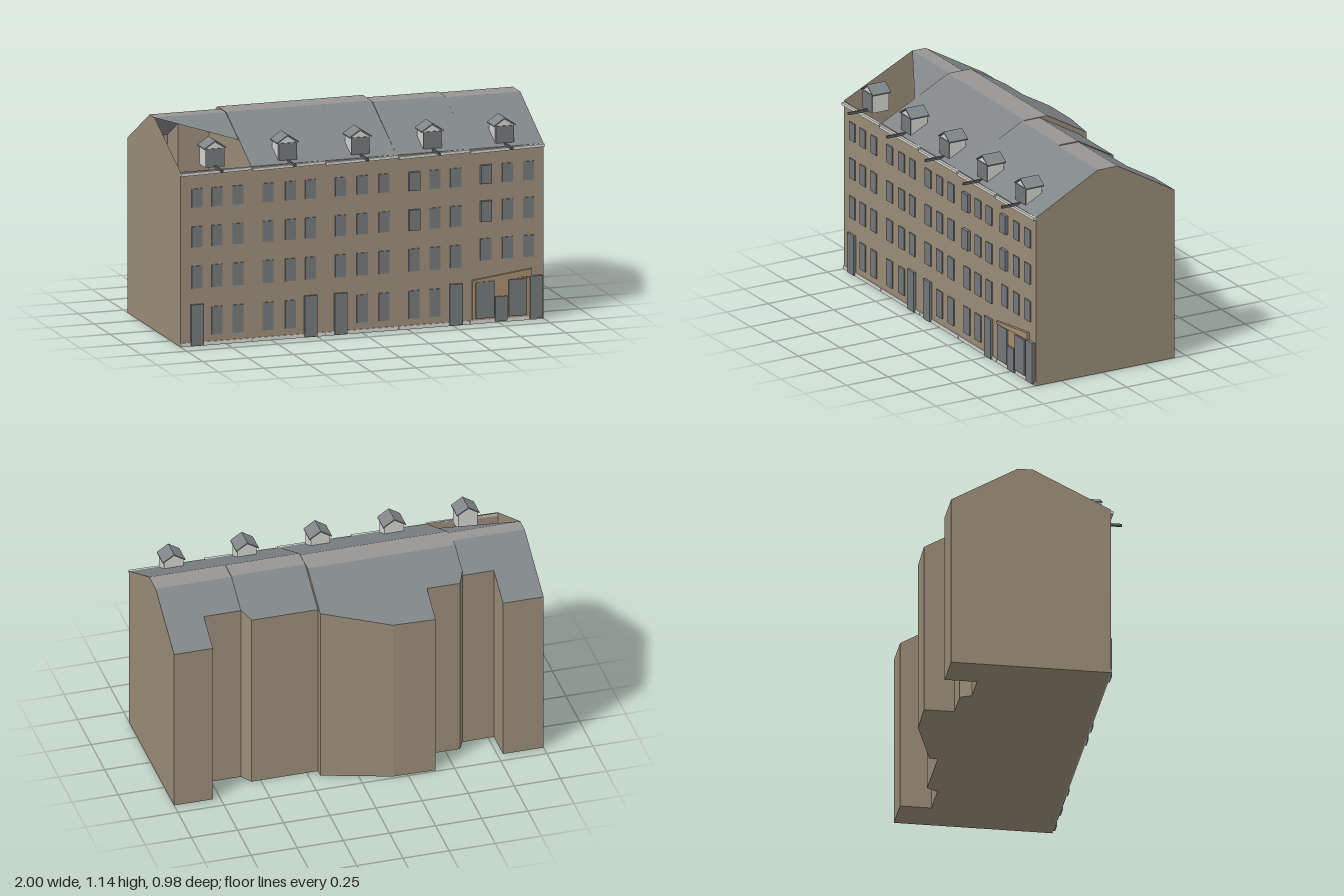
import * as THREE from 'three';
import { mergeGeometries } from 'three/addons/utils/BufferGeometryUtils.js';

const mat = (name, color, side = THREE.FrontSide) => {
  const m = new THREE.MeshStandardMaterial({ color, side });
  m.name = name;
  return m;
};

const FRONT = 0.4;   // z of the street wall
const EAVE = 0.935;  // height of the front eave
const BACK_PITCH = 0.575;

export function createModel() {
  const model = new THREE.Group();
  model.name = 'terraceOfHouses';
  const wall = mat('brick', 0x9a8c78, THREE.DoubleSide);
  const roof = mat('slate', 0x808588, THREE.DoubleSide);
  const ridge = mat('ridgeGrey', 0x979593, THREE.DoubleSide);
  const glass = mat('glassGrey', 0x74787a);
  const trim = mat('lightTrim', 0xd3d3cf, THREE.DoubleSide);
  const beamGrey = mat('beamGrey', 0x606466);
  const shopTan = mat('shopTan', 0xa58c6f);

  const add = (parent, name, geometry, material) => {
    const mesh = new THREE.Mesh(geometry, material);
    mesh.name = name;
    parent.add(mesh);
    return mesh;
  };
  const box = (parent, name, material, w, h, d, x, y, z) => {
    const mesh = add(parent, name, new THREE.BoxGeometry(w, h, d), material);
    mesh.position.set(x, y, z);
    return mesh;
  };
  // Flat polygon drawn in 2D, then placed in space by a rule
  const face = (pts, place) => {
    const g = new THREE.ShapeGeometry(new THREE.Shape(pts.map(p => new THREE.Vector2(...p)))).toNonIndexed();
    const pos = g.attributes.position;
    for (let i = 0; i < pos.count; i++) pos.setXYZ(i, ...place(pos.getX(i), pos.getY(i)));
    g.computeVertexNormals();
    return g;
  };

  // House shells: ridge lines and the stepped back outline from low x to high x
  const houses = [
    { x0: -1, x1: -0.61, top: 1.135, rf: -0.01, rb: -0.09, open: true,
      back: [[-1, -0.44], [-0.78, -0.44], [-0.78, -0.27], [-0.61, -0.27]] },
    { x0: -0.61, x1: 0.19, top: 1.138, rf: 0, rb: -0.135,
      back: [[-0.61, -0.27], [-0.58, -0.33], [-0.4, -0.33], [-0.4, -0.49], [-0.17, -0.485], [0.19, -0.37]] },
    { x0: 0.19, x1: 0.59, top: 1.135, rf: 0.02, rb: -0.09,
      back: [[0.19, -0.325], [0.55, -0.325], [0.59, -0.265]] },
    { x0: 0.59, x1: 1, top: 1.13, rf: 0.03, rb: -0.09,
      back: [[0.59, -0.265], [0.79, -0.265], [0.79, -0.43], [1, -0.43]] },
  ];
  houses.forEach(({ x0, x1, top, rf, rb, back, open }) => {
    const house = new THREE.Group();
    house.name = 'house';
    model.add(house);
    const height = z => z > rf ? top - (z - rf) / (FRONT - rf) * (top - EAVE)
      : z < rb ? top - (rb - z) * BACK_PITCH : top;
    const onRoof = (x, z) => [x, height(z), z];
    const walls = [
      face([[x0, 0], [x1, 0], [x1, EAVE], [x0, EAVE]], (x, y) => [x, y, FRONT]),
      face([...back, [x1, FRONT], [x0, FRONT]], (x, z) => [x, 0, z]),
    ];
    // End walls follow the roof profile
    [[x0, back[0][1]], [x1, back[back.length - 1][1]]].forEach(([x, zb]) =>
      walls.push(face([[FRONT, 0], [FRONT, EAVE], [rf, top], [rb, top], [zb, height(zb)], [zb, 0]],
        (z, y) => [x, y, z])));
    // Back walls rise to meet the sloping roof
    back.slice(1).forEach(([bx, bz], i) => {
      const [ax, az] = back[i];
      walls.push(face([[0, 0], [1, 0], [1, height(bz)], [0, height(az)]],
        (t, y) => [ax + (bx - ax) * t, y, az + (bz - az) * t]));
    });
    add(house, 'walls', mergeGeometries(walls), wall);
    // The end house has only a triangle of its front slope
    const frontSlope = open ? [[x0, rf], [x1, rf], [x1, 0.2]]
      : [[x0, rf], [x1, rf], [x1, FRONT], [x0, FRONT]];
    add(house, 'frontRoof', face(frontSlope, onRoof), roof);
    add(house, 'backRoof', face([[x0, rb], ...back, [x1, rb]], onRoof), roof);
    add(house, 'ridgeTop', face([[x0, rb], [x1, rb], [x1, rf], [x0, rf]], (x, z) => [x, top, z]), ridge);
  });

  // Facade bays: windows, doors, cornice and plinth
  const bays = [
    { x0: -1, x1: -0.61, cols: [-0.91, -0.8, -0.685], door: 0 },
    { x0: -0.605, x1: -0.205, cols: [-0.52, -0.395, -0.285], door: 2 },
    { x0: -0.2, x1: 0.195, cols: [-0.12, 0, 0.12], door: 0 },
    { x0: 0.2, x1: 0.59, cols: [0.285, 0.4, 0.515], door: 2, proud: true },
    { x0: 0.595, x1: 1, cols: [0.68, 0.8, 0.915], shop: true, proud: true },
  ];
  bays.forEach(({ x0, x1, cols, door, shop, proud }) => {
    const bay = new THREE.Group();
    bay.name = 'facadeBay';
    model.add(bay);
    const rows = shop ? [[0.797, 0.1], [0.6, 0.11], [0.395, 0.115]]
      : [[0.79, 0.1], [0.583, 0.11], [0.368, 0.12], [0.13, 0.148]];
    rows.forEach(([y, h], r) => cols.forEach((x, c) => {
      if (r === 3 && c === door) return;
      const d = proud && c === 0 && r < 2 ? 0.018 : 0.006;
      box(bay, 'window', glass, 0.06, h, d, x, y, FRONT + d / 2);
    }));
    if (!shop) box(bay, 'door', glass, 0.07, 0.22, 0.014, cols[door], 0.113, FRONT + 0.007);
    const w = x1 - x0, mid = (x0 + x1) / 2;
    // Tapered cornice strip under the eave
    const strip = new THREE.Shape([[x0, 0.912], [x1, 0.92], [x1, EAVE], [x0, 0.927]].map(p => new THREE.Vector2(...p)));
    const cornice = add(bay, 'cornice', new THREE.ExtrudeGeometry(strip, { depth: 0.014, bevelEnabled: false }), trim);
    cornice.position.z = FRONT;
    box(bay, 'plinth', trim, w, 0.02, 0.005, mid, 0.01, FRONT + 0.0025);
  });

  // Shop front
  const shop = new THREE.Group();
  shop.name = 'shopFront';
  model.add(shop);
  const board = new THREE.Shape([[0.605, 0.222], [0.93, 0.235], [0.93, 0.275], [0.605, 0.235]].map(p => new THREE.Vector2(...p)));
  add(shop, 'shopFascia', new THREE.ExtrudeGeometry(board, { depth: 0.014, bevelEnabled: false }), shopTan).position.z = FRONT;
  box(shop, 'shopSurround', shopTan, 0.32, 0.21, 0.008, 0.765, 0.125, FRONT + 0.004);
  [[0.672, 0.1, 0.03, 0.225], [0.762, 0.065, 0.008, 0.14], [0.853, 0.1, 0.03, 0.225], [0.955, 0.068, 0.008, 0.235]]
    .forEach(([x, w, y0, y1]) => box(shop, 'shopOpening', glass, w, y1 - y0, 0.017, x, (y0 + y1) / 2, FRONT + 0.0085));

  // Dormers with hoist beams
  const outline = new THREE.Shape([[-0.052, 0.94], [0.052, 0.94], [0.052, 1.04], [0, 1.073], [-0.052, 1.04]]
    .map(p => new THREE.Vector2(...p)));
  const cover = new THREE.Shape([[-0.061, 1.037], [0, 1.075], [0.061, 1.037], [0.061, 1.043], [0, 1.083], [-0.061, 1.043]]
    .map(p => new THREE.Vector2(...p)));
  [-0.8, -0.4, 0, 0.397, 0.795].forEach(x => {
    const dormer = new THREE.Group();
    dormer.name = 'dormer';
    dormer.position.x = x;
    model.add(dormer);
    add(dormer, 'dormerBody', new THREE.ExtrudeGeometry(outline, { depth: 0.095, bevelEnabled: false }), trim).position.z = 0.275;
    add(dormer, 'dormerRoof', new THREE.ExtrudeGeometry(cover, { depth: 0.11, bevelEnabled: false }), roof).position.z = 0.268;
    box(dormer, 'dormerHatch', glass, 0.1, 0.098, 0.005, 0, 0.99, 0.3725);
    box(dormer, 'hoistBeam', beamGrey, 0.012, 0.013, 0.12, 0, 0.943, 0.43);
  });
  return model;
}
